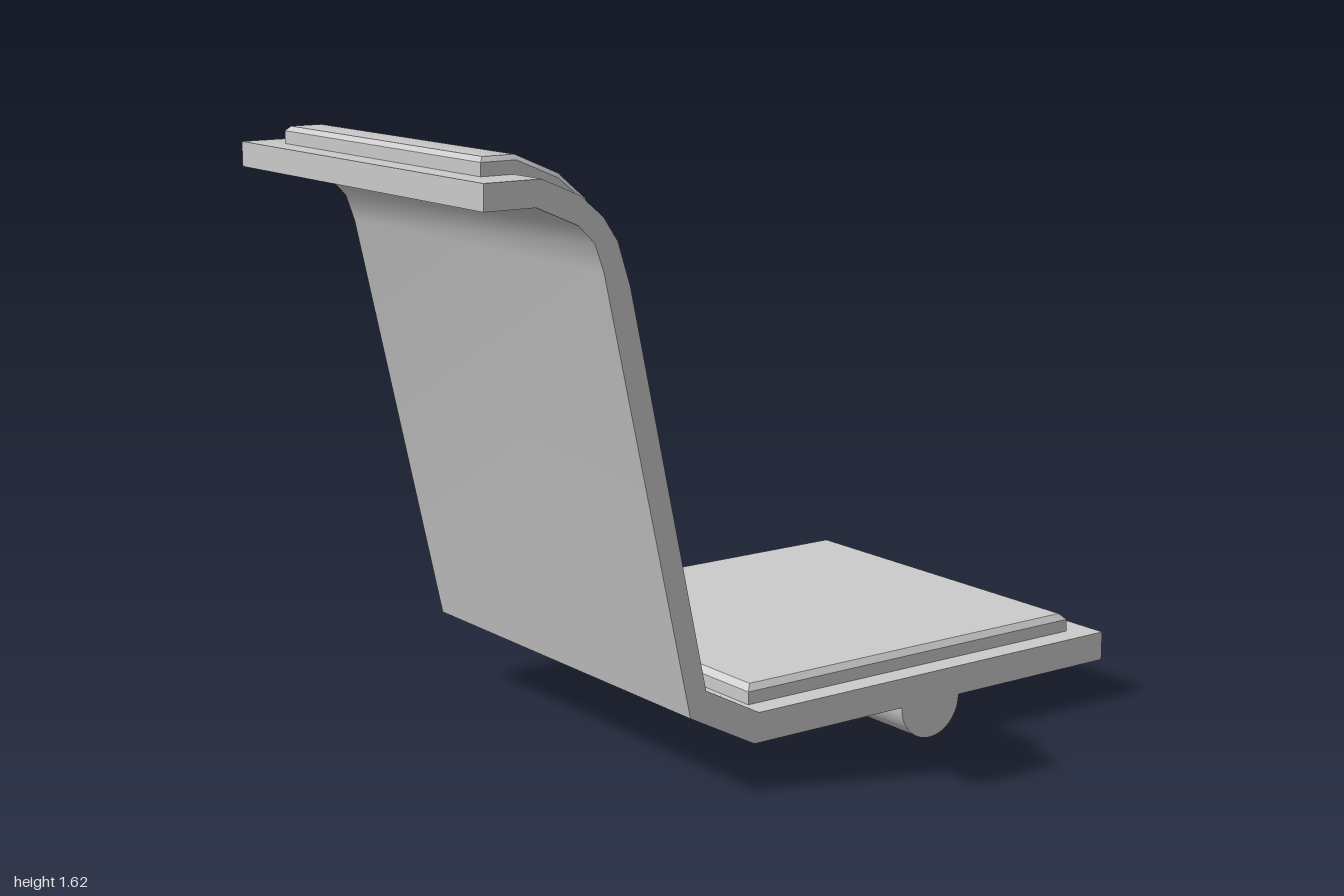
import * as THREE from 'three';
import { toCreasedNormals } from 'three/addons/utils/BufferGeometryUtils.js';

const HALF_DEPTH = 0.593;
const CREASE = 0.46;
const material = new THREE.MeshStandardMaterial({ color: 0xcccccc });

function makeMesh(name, geometry) {
  const mesh = new THREE.Mesh(toCreasedNormals(geometry, CREASE), material);
  mesh.name = name;
  return mesh;
}

// Side profile extruded across the full width of the seat
function extrudeAcross(shape) {
  const geometry = new THREE.ExtrudeGeometry(shape, {
    depth: 2 * HALF_DEPTH, bevelEnabled: false, curveSegments: 24,
  });
  return geometry.translate(0, 0, -HALF_DEPTH);
}

// Cushion following a side-view path, with a chamfered rim on all four sides
function padGeometry(points, halfWidth, thickness, chamfer) {
  const path = points.map(([x, y]) => new THREE.Vector2(x, y));
  const last = path.length - 1;
  const step = (from, to) => from.clone().add(to.clone().sub(from).setLength(chamfer));
  path.splice(last, 0, step(path[last], path[last - 1]));
  path.splice(1, 0, step(path[0], path[1]));

  const normalBetween = (a, b) => new THREE.Vector2(a.y - b.y, b.x - a.x).normalize();
  const rings = path.map((p, i) => {
    const end = i === 0 || i === path.length - 1;
    const n1 = normalBetween(path[Math.max(i - 1, 0)], path[Math.max(i, 1)]);
    const n2 = i === path.length - 1 ? n1 : normalBetween(p, path[i + 1]);
    const n = n1.clone().add(n2).divideScalar(1 + n1.dot(n2));
    const shoulder = thickness - chamfer;
    const top = end ? shoulder : thickness;
    const w = end ? halfWidth : halfWidth - chamfer;
    return [
      [0, halfWidth], [shoulder, halfWidth], [top, w],
      [top, -w], [shoulder, -halfWidth], [0, -halfWidth],
    ].map(([h, z]) => new THREE.Vector3(p.x + n.x * h, p.y + n.y * h, z));
  });

  const corners = [];
  const triangle = (a, b, c) => {
    if (new THREE.Triangle(a, b, c).getArea() > 1e-8) corners.push(a, b, c);
  };
  for (let i = 0; i < rings.length - 1; i++) {
    for (let j = 0; j < 5; j++) {
      const a = rings[i][j], b = rings[i][j + 1];
      const c = rings[i + 1][j + 1], d = rings[i + 1][j];
      triangle(a, d, c);
      triangle(a, c, b);
    }
  }
  // End caps
  const first = rings[0], final = rings[rings.length - 1];
  for (let j = 1; j < 5; j++) {
    triangle(first[0], first[j], first[j + 1]);
    triangle(final[0], final[j + 1], final[j]);
  }
  return new THREE.BufferGeometry().setFromPoints(corners);
}

export function createModel() {
  const model = new THREE.Group();
  model.name = 'seat';

  // Bent shell: seat base, sloped transition, backrest and rolled top
  const shellProfile = [
    [1, 0.1], [1, 0.18], [-0.21, 0.18], [-0.377, 0.268],
    [-0.6, 1.3], [-0.635, 1.41], [-0.675, 1.47], [-0.74, 1.525], [-0.845, 1.57], [-1, 1.57],
    [-1, 1.505], [-0.86, 1.505], [-0.745, 1.455], [-0.7, 1.41], [-0.675, 1.34],
    [-0.425, 0.205], [-0.225, 0.1],
  ].map(([x, y]) => new THREE.Vector2(x, y));
  model.add(makeMesh('shell', extrudeAcross(new THREE.Shape(shellProfile))));

  // Half-round bar under the seat base
  const barShape = new THREE.Shape();
  barShape.absarc(0.365, 0.1, 0.1, Math.PI, 2 * Math.PI, false);
  model.add(makeMesh('supportBar', extrudeAcross(barShape)));

  // Seat cushion
  model.add(makeMesh('seatPad',
    padGeometry([[-0.195, 0.18], [0.925, 0.18]], 0.528, 0.05, 0.016)));

  // Back cushion, following the shell over the rolled top
  const backPath = [
    [-0.935, 1.57], [-0.845, 1.57], [-0.74, 1.525], [-0.675, 1.47],
    [-0.635, 1.41], [-0.6, 1.3], [-0.405, 0.398],
  ];
  model.add(makeMesh('backPad', padGeometry(backPath, 0.477, 0.045, 0.012)));

  return model;
}
